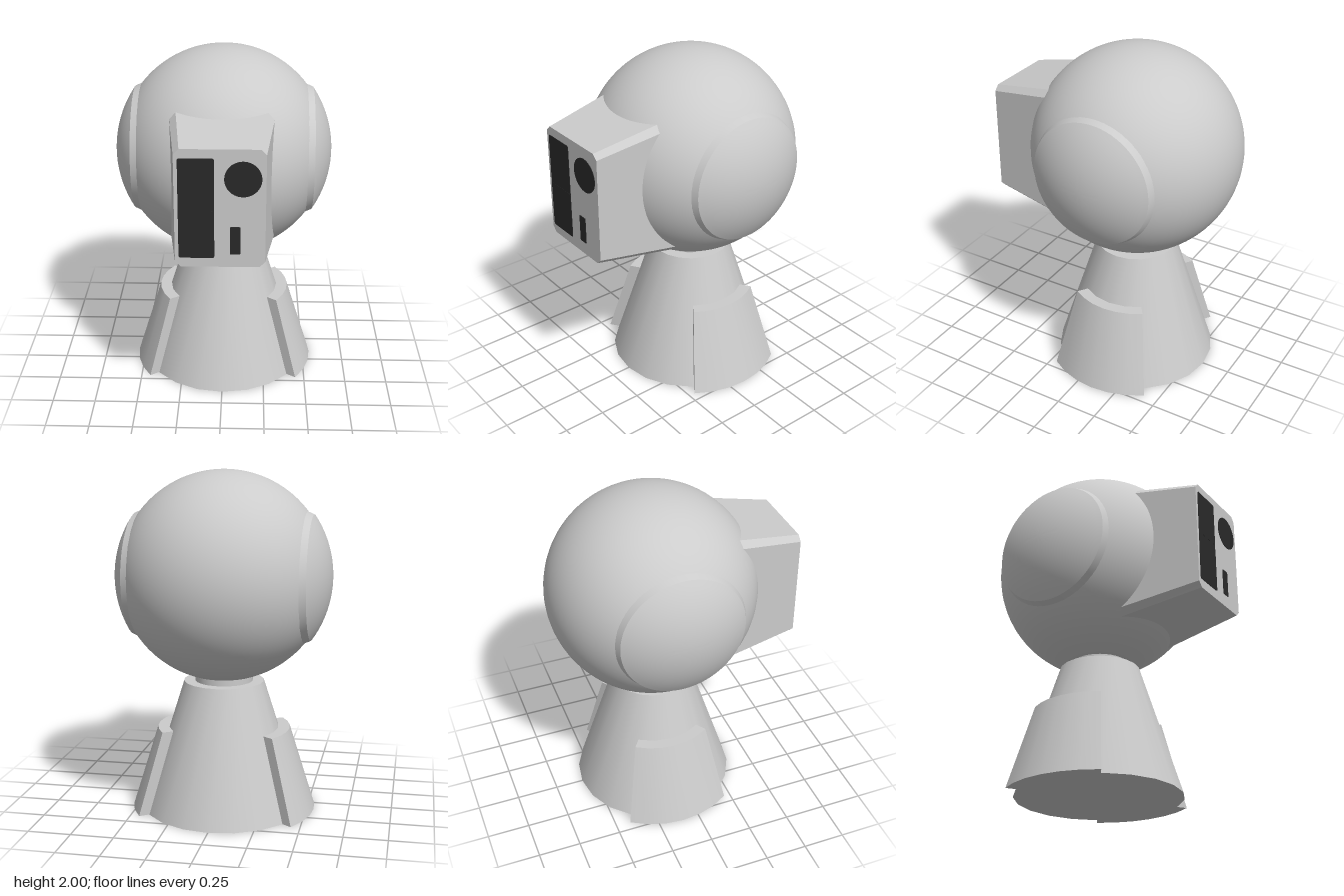
import * as THREE from 'three';
import { toCreasedNormals } from 'three/addons/utils/BufferGeometryUtils.js';

const CZ = -0.1; // axis of the pedestal and ball
const BALL_Y = 1.39, BALL_R = 0.61;

export function createModel() {
  const model = new THREE.Group();
  const grey = new THREE.MeshStandardMaterial({ color: 0xcccccc });
  const dark = new THREE.MeshStandardMaterial({ color: 0x2a2a2a });

  const add = (name, geometry, x, y, z, material = grey) => {
    const mesh = new THREE.Mesh(geometry, material);
    mesh.name = name;
    mesh.position.set(x, y, z);
    model.add(mesh);
    return mesh;
  };

  // Conical pedestal and neck
  add('pedestal', new THREE.CylinderGeometry(0.237, 0.482, 0.77, 20), 0, 0.385, CZ);
  add('neck', new THREE.CylinderGeometry(0.17, 0.17, 0.1, 32), 0, 0.79, CZ);

  // Curved side plates: a ring sector, tapered upwards to follow the cone
  const finHeight = 0.49, finAngle = 0.61;
  const sector = new THREE.Shape();
  const steps = 6;
  for (let i = 0; i <= steps; i++) {
    const a = -finAngle + (2 * finAngle * i) / steps;
    const px = 0.545 * Math.cos(a), py = 0.545 * Math.sin(a);
    if (i === 0) sector.moveTo(px, py); else sector.lineTo(px, py);
  }
  for (let i = steps; i >= 0; i--) {
    const a = -finAngle + (2 * finAngle * i) / steps;
    sector.lineTo(0.43 * Math.cos(a), 0.43 * Math.sin(a));
  }
  let fin = new THREE.ExtrudeGeometry(sector, { depth: finHeight, bevelEnabled: false });
  fin.rotateX(-Math.PI / 2);
  const fp = fin.attributes.position;
  for (let i = 0; i < fp.count; i++) {
    const s = 1 - 0.28 * (fp.getY(i) / finHeight);
    fp.setXYZ(i, fp.getX(i) * s, fp.getY(i), fp.getZ(i) * s);
  }
  fin = toCreasedNormals(fin, 0.5);
  add('leftSidePlate', fin, 0, 0, CZ);
  add('rightSidePlate', fin, 0, 0, CZ).rotation.y = Math.PI;

  // Ball head, cut flat above the neck
  const cut = Math.acos((0.81 - BALL_Y) / BALL_R);
  add('ball', new THREE.SphereGeometry(BALL_R, 64, 48, 0, Math.PI * 2, 0, cut), 0, BALL_Y, CZ);
  add('ballUnderside', new THREE.CircleGeometry(BALL_R * Math.sin(cut), 64).rotateX(Math.PI / 2), 0, 0.81, CZ);

  // Raised domed caps with a bevelled rim on both sides
  const profile = [new THREE.Vector2(0.378, 0.475)];
  const rim = Math.asin(0.36 / 0.63);
  for (let i = 0; i <= 12; i++) {
    const a = rim * (1 - i / 12);
    profile.push(new THREE.Vector2(0.63 * Math.sin(a), 0.63 * Math.cos(a)));
  }
  const cap = toCreasedNormals(new THREE.LatheGeometry(profile, 64), 0.4);
  for (const side of [1, -1]) {
    add(side > 0 ? 'leftCap' : 'rightCap', cap, 0, BALL_Y, CZ).rotation.z = -side * Math.PI / 2;
  }

  // Tapered housing with chamfered corners, widening towards the ball
  const w = 0.24, h = 0.3325, c = 0.03, depth = 0.71;
  const outline = new THREE.Shape([
    [w - c, -h], [w, -h + c], [w, h - c], [w - c, h],
    [-w + c, h], [-w, h - c], [-w, -h + c], [-w + c, -h],
  ].map(([x, y]) => new THREE.Vector2(x, y)));
  let housing = new THREE.ExtrudeGeometry(outline, { depth, bevelEnabled: false });
  const hp = housing.attributes.position;
  for (let i = 0; i < hp.count; i++) {
    const back = 1 - hp.getZ(i) / depth;
    const y = hp.getY(i);
    hp.setX(i, hp.getX(i) * (1 + 0.355 * back));
    hp.setY(i, y * (1 + (y > 0 ? 0.39 : 0.3) * back));
  }
  housing = toCreasedNormals(housing, 0.2);
  add('housing', housing, 0, 1.3425, 0);

  // Dark windows on the front face
  const windowGeometry = (width, height, r = 0.012) => {
    const x = width / 2, y = height / 2;
    const s = new THREE.Shape();
    s.moveTo(-x + r, -y);
    s.lineTo(x - r, -y).quadraticCurveTo(x, -y, x, -y + r);
    s.lineTo(x, y - r).quadraticCurveTo(x, y, x - r, y);
    s.lineTo(-x + r, y).quadraticCurveTo(-x, y, -x, y - r);
    s.lineTo(-x, -y + r).quadraticCurveTo(-x, -y, -x + r, -y);
    return new THREE.ExtrudeGeometry(s, { depth: 0.003, bevelEnabled: false, curveSegments: 4 });
  };
  add('upperWindow', windowGeometry(0.19, 0.266), -0.125, 1.492, depth, dark);
  add('lowerWindow', windowGeometry(0.19, 0.271), -0.125, 1.1985, depth, dark);
  add('windowDivider', new THREE.BoxGeometry(0.19, 0.04, 0.004), -0.125, 1.347, depth, dark);
  add('slot', windowGeometry(0.056, 0.158, 0.006), 0.08, 1.164, depth, dark);
  add('lens', new THREE.CylinderGeometry(0.098, 0.098, 0.006, 48).rotateX(Math.PI / 2), 0.12, 1.512, depth, dark);

  return model;
}
